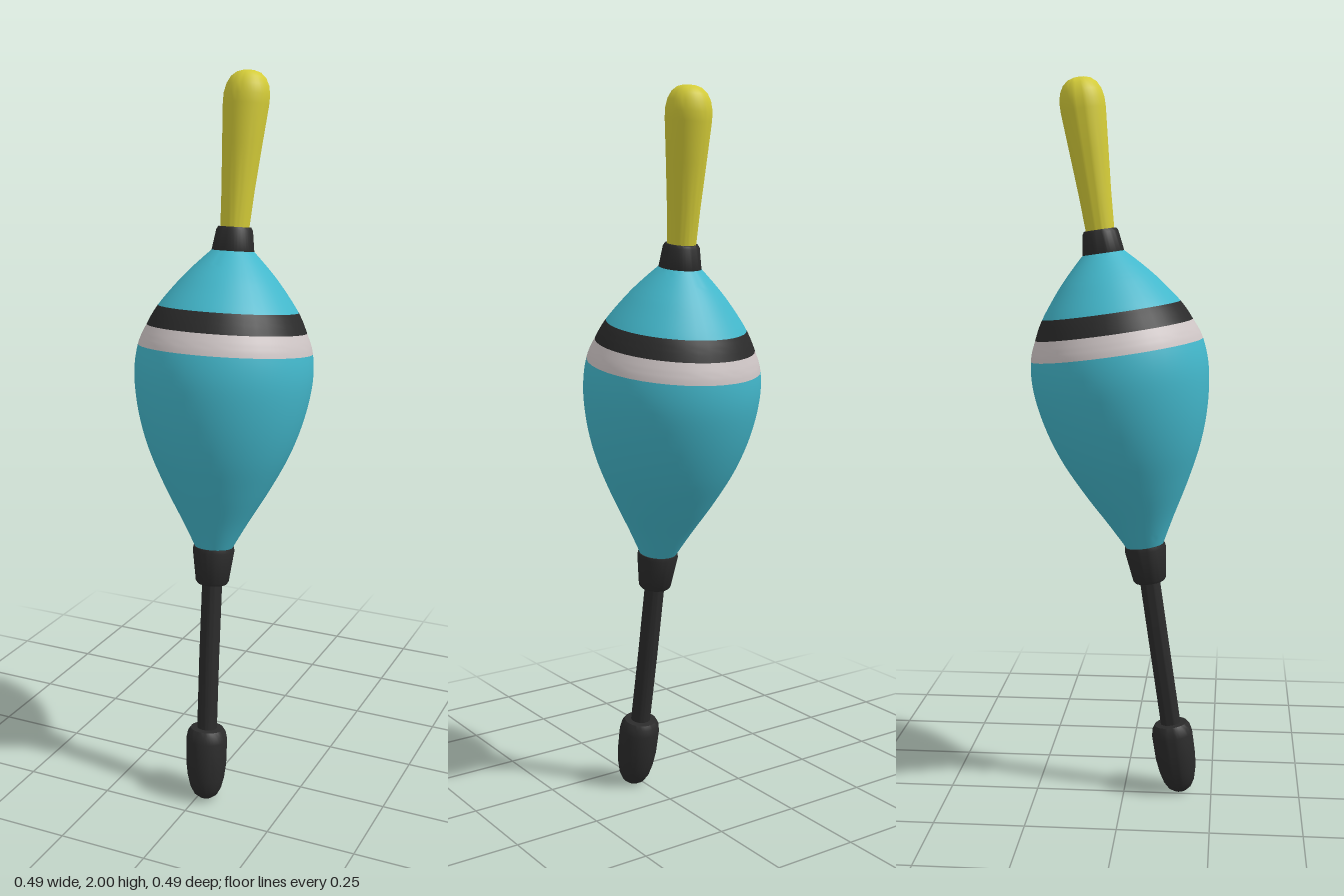
import * as THREE from 'three';
import { toCreasedNormals } from 'three/addons/utils/BufferGeometryUtils.js';

const SIDES = 40;
const TILT = -0.142;

const material = (name, color) => {
  const m = new THREE.MeshStandardMaterial({ color });
  m.name = name;
  return m;
};

export function createModel() {
  const teal = material('teal', 0x43b8cc);
  const yellow = material('yellow', 0xd4cc38);
  const black = material('black', 0x2b2b2b);
  const white = material('offWhite', 0xcfc6c6);

  // Everything is turned around one leaning axis, measured from its middle
  const model = new THREE.Group();
  model.name = 'fishingFloat';
  const axis = new THREE.Group();
  axis.name = 'leaningAxis';
  axis.position.set(0, 1, 0.02);
  axis.rotation.x = TILT;
  model.add(axis);

  const vectors = (pairs) => pairs.map(([r, s]) => new THREE.Vector2(r, s));

  // Turned part, bowed slightly sideways towards both ends
  const turned = (name, points, mat) => {
    const lathe = new THREE.LatheGeometry(points, SIDES);
    const pos = lathe.attributes.position;
    for (let i = 0; i < pos.count; i++) {
      pos.setX(i, pos.getX(i) + 0.022 * pos.getY(i) ** 2);
    }
    const mesh = new THREE.Mesh(toCreasedNormals(lathe, 0.7), mat);
    mesh.name = name;
    axis.add(mesh);
  };

  // Rounded weight at the foot
  turned('weight', vectors([
    [0, -1.006], [0.018, -1.003], [0.033, -0.992], [0.044, -0.972], [0.052, -0.94],
    [0.057, -0.9], [0.058, -0.83], [0.054, -0.81], [0.046, -0.798], [0, -0.794],
  ]), black);

  // Thin stem, with the collar below the body
  turned('stem', vectors([[0.028, -0.81], [0.028, -0.59], [0.028, -0.36]]), black);
  turned('lowerCollar', vectors([
    [0, -0.375], [0.041, -0.375], [0.046, -0.368], [0.058, -0.28], [0.056, -0.27], [0, -0.27],
  ]), black);

  // Pear-shaped body, cut into colour bands between profile points
  const profile = vectors([
    [0.05, -0.275], [0.09, -0.2], [0.146, -0.1], [0.194, 0], [0.226, 0.1],
    [0.242, 0.2], [0.237, 0.28], [0.217, 0.335], [0.19, 0.388], [0.14, 0.455],
    [0.1, 0.5], [0.055, 0.545],
  ]);
  const curve = new THREE.SplineCurve(profile);
  const last = profile.length - 1;
  const bands = [
    ['lowerBody', 0, 6, teal],
    ['whiteStripe', 6, 7, white],
    ['blackStripe', 7, 8, black],
    ['upperBody', 8, last, teal],
  ];
  for (const [name, from, to, mat] of bands) {
    const steps = (to - from) * 6;
    const points = [];
    for (let i = 0; i <= steps; i++) {
      points.push(curve.getPoint((from + ((to - from) * i) / steps) / last));
    }
    turned(name, points, mat);
  }

  // Collar above the body
  turned('upperCollar', vectors([
    [0, 0.53], [0.055, 0.53], [0.058, 0.538], [0.049, 0.598], [0.044, 0.606], [0, 0.606],
  ]), black);

  // Flared antenna with a domed tip
  turned('antenna', vectors([
    [0.038, 0.59], [0.044, 0.7], [0.053, 0.82], [0.061, 0.925], [0.061, 0.95],
    [0.056, 0.974], [0.046, 0.993], [0.032, 1.005], [0.016, 1.01], [0, 1.011],
  ]), yellow);

  return model;
}
